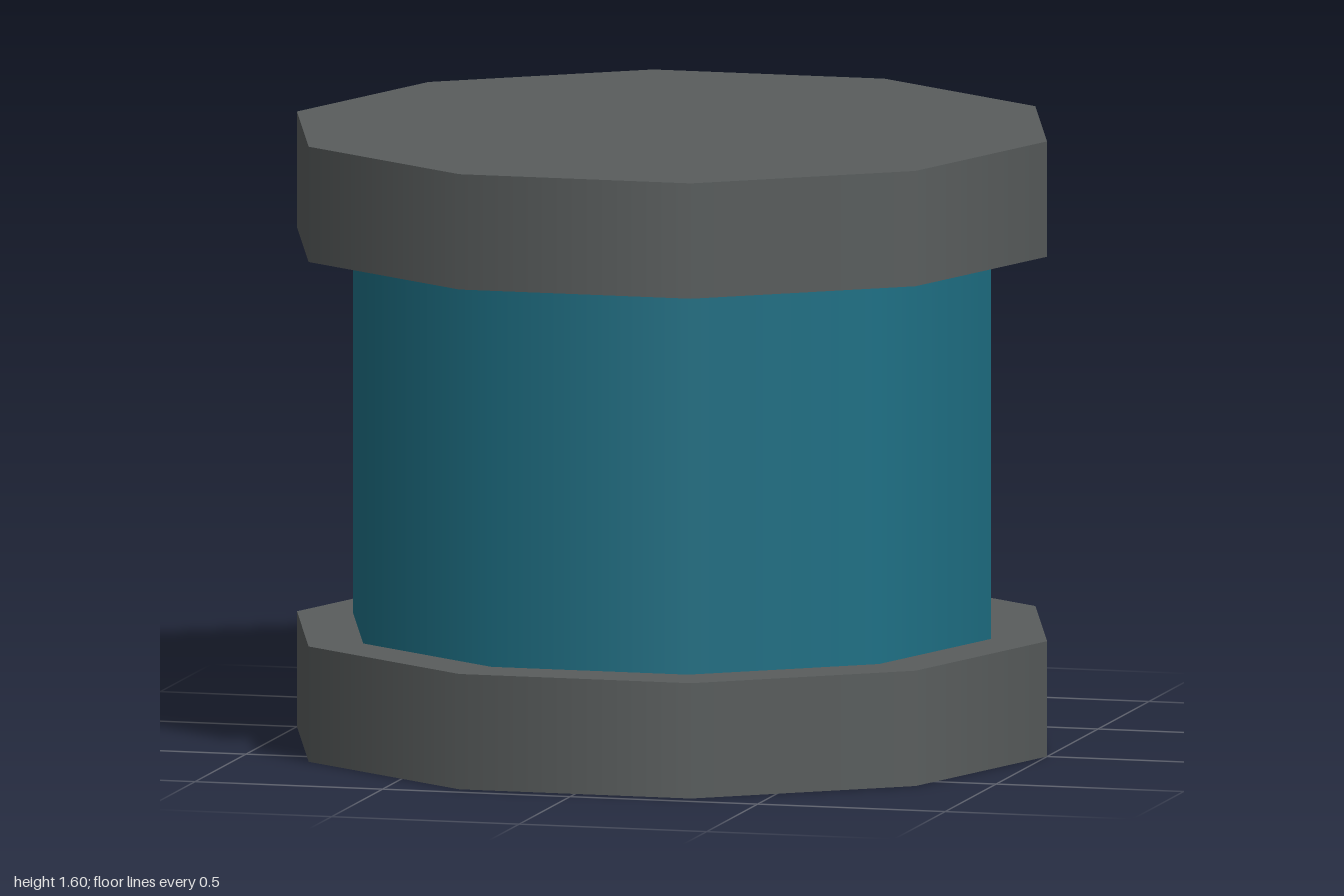
import * as THREE from 'three';

const SIDES = 10;

export function createModel() {
  const gray = new THREE.MeshStandardMaterial({ color: 0x595d5d, side: THREE.DoubleSide });
  gray.name = 'dark gray';
  const teal = new THREE.MeshStandardMaterial({ color: 0x1e7085, side: THREE.DoubleSide });
  teal.name = 'teal';

  const group = new THREE.Group();
  group.name = 'spool';

  // Ten-sided open wall with smooth sides and a corner on the x axis
  const addWall = (name, radius, bottom, top, material) => {
    const geometry = new THREE.CylinderGeometry(
      radius, radius, top - bottom, SIDES, 1, true, Math.PI / 2, Math.PI * 2);
    const mesh = new THREE.Mesh(geometry, material);
    mesh.name = name;
    mesh.position.y = (bottom + top) / 2;
    group.add(mesh);
  };

  // Wide hollow rim: a wall closed by a lid on top, open underneath
  const addRim = (name, bottom, top) => {
    addWall(name + 'Wall', 1, bottom, top, gray);
    const lid = new THREE.Mesh(new THREE.CircleGeometry(1, SIDES), gray);
    lid.name = name + 'Lid';
    lid.rotation.x = -Math.PI / 2;
    lid.position.y = top;
    group.add(lid);
  };

  addRim('bottomRim', 0, 0.3);
  addWall('core', 0.85, 0.3, 1.3, teal);
  addRim('topRim', 1.3, 1.6);

  return group;
}
